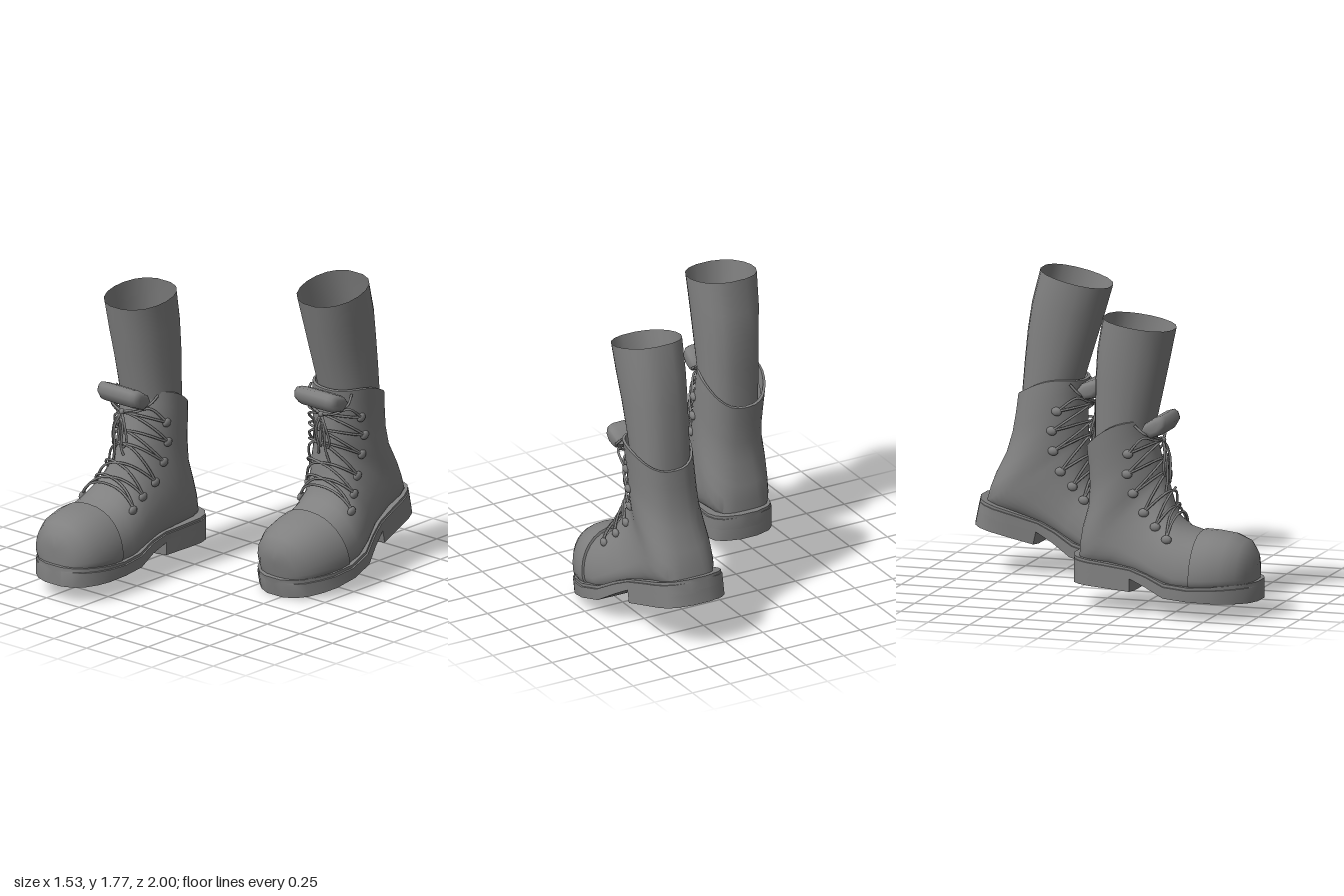
import * as THREE from 'three';
import { toCreasedNormals } from 'three/addons/utils/BufferGeometryUtils.js';

const material = new THREE.MeshStandardMaterial({ color: 0x808080, side: THREE.DoubleSide });
const V = (x, y, z) => new THREE.Vector3(x, y, z);
const { lerp } = THREE.MathUtils;

// Section rows: bottom/back z, y; top/front z, y; inner x; outer x; widest point (0..1)
const CAP = [
  [0.978, 0.15, 0.982, 0.3, 0.46, 0.46, 0.4],
  [0.972, 0.15, 0.978, 0.335, 0.385, 0.54, 0.4],
  [0.95, 0.15, 0.962, 0.385, 0.325, 0.605, 0.35],
  [0.9, 0.15, 0.92, 0.44, 0.268, 0.665, 0.3],
  [0.82, 0.15, 0.84, 0.472, 0.23, 0.712, 0.27],
  [0.72, 0.15, 0.74, 0.485, 0.217, 0.742, 0.25],
  [0.65, 0.15, 0.66, 0.488, 0.217, 0.748, 0.25],
  [0.648, 0.15, 0.656, 0.46, 0.25, 0.71, 0.25],
];
const UPPER = [
  [0.67, 0.15, 0.68, 0.468, 0.228, 0.735, 0.25],
  [0.55, 0.15, 0.56, 0.505, 0.226, 0.735, 0.25],
  [0.42, 0.19, 0.49, 0.56, 0.235, 0.708, 0.24],
  [0.28, 0.23, 0.46, 0.63, 0.24, 0.66, 0.24],
  [0.1, 0.25, 0.43, 0.72, 0.222, 0.628, 0.28],
  [-0.03, 0.25, 0.41, 0.775, 0.218, 0.622, 0.32],
  [-0.087, 0.27, 0.402, 0.805, 0.218, 0.62, 0.36],
  [-0.085, 0.36, 0.395, 0.83, 0.22, 0.62, 0.4],
  [-0.073, 0.45, 0.38, 0.88, 0.228, 0.62, 0.45],
  [-0.04, 0.58, 0.365, 0.94, 0.235, 0.615, 0.5],
  [-0.03, 0.7, 0.35, 1.0, 0.237, 0.618, 0.5],
  [-0.035, 0.82, 0.338, 1.06, 0.24, 0.628, 0.5],
  [-0.045, 0.93, 0.333, 1.115, 0.245, 0.636, 0.5],
  [-0.03, 0.935, 0.315, 1.115, 0.257, 0.622, 0.5],
  [-0.02, 0.85, 0.3, 1.05, 0.257, 0.61, 0.5],
];
const COLLAR = 12;
const LEG = [
  [0.0, 0.8, 0.31, 0.9, 0.265, 0.6, 0.5],
  [0.0, 1.15, 0.36, 1.13, 0.26, 0.61, 0.5],
  [0.003, 1.33, 0.4, 1.31, 0.253, 0.618, 0.5],
  [0.015, 1.5, 0.435, 1.47, 0.247, 0.63, 0.5],
  [0.05, 1.7, 0.47, 1.64, 0.24, 0.638, 0.5],
];
// Sole rows: z, bottom y, top y, inner x, outer x
const SOLE = [
  [1.0, 0.095, 0.21, 0.39, 0.51], [0.975, 0.096, 0.21, 0.325, 0.585],
  [0.93, 0.098, 0.208, 0.27, 0.645], [0.86, 0.102, 0.205, 0.23, 0.7],
  [0.78, 0.106, 0.2, 0.208, 0.74], [0.65, 0.113, 0.195, 0.2, 0.765],
  [0.5, 0.122, 0.205, 0.212, 0.745], [0.38, 0.17, 0.245, 0.23, 0.7],
  [0.27, 0.208, 0.27, 0.228, 0.665], [0.1, 0.215, 0.285, 0.207, 0.635],
  [0.0, 0.215, 0.292, 0.2, 0.617], [-0.06, 0.215, 0.298, 0.215, 0.592],
  [-0.1, 0.215, 0.3, 0.255, 0.553], [-0.13, 0.215, 0.302, 0.35, 0.46],
];
const HEEL = [[0.285, 0.2, 0, 0.285, 0.61], ...SOLE.slice(8)]
  .map(([z, yb, , xi, xo]) => [z, 0.142 - z * 0.04, yb + 0.015, xi, xo]);
const EYELETS = [[0.5, 0.45], [0.41, 0.51], [0.33, 0.58], [0.27, 0.69], [0.24, 0.81], [0.24, 0.92]];
// Tongue padding: side outline (z, y), and x positions with their scale
const TONGUE = [[0.472, 1.1], [0.458, 1.14], [0.435, 1.155], [0.39, 1.14], [0.33, 1.1],
  [0.305, 1.05], [0.37, 1.015], [0.44, 1.045]];
const TONGUE_X = [[0.293, 0.45], [0.298, 0.7], [0.312, 0.88], [0.34, 0.98], [0.45, 1],
  [0.56, 0.98], [0.588, 0.88], [0.602, 0.7], [0.607, 0.45]];

// Point on a rounded section at angle a (0 outer side, PI/2 top/front)
function sectionPoint([bz, by, tz, ty, xi, xo, m], a, grow = 0, arch = 0.25) {
  const c = Math.cos(a), s = Math.sin(a);
  const t = s < 0 ? m + m * s : m + (1 - m) * s;
  const power = s < 0 ? 1.6 * m - 0.02 : 0.85;
  const w = (xo - xi) / 2 + grow;
  const lift = grow * Math.max(0, s) / (Math.hypot(tz - bz, ty - by) || 1);
  const rise = Math.max(0, ty - 0.9) * arch * Math.sin(Math.PI * t);
  return V((xi + xo) / 2 + w * Math.sign(c) * Math.abs(c) ** power,
    lerp(by, ty, t + lift) + rise, lerp(bz, tz, t + lift));
}

const roundRings = (rows, sides, arch) => rows.map((row) =>
  Array.from({ length: sides }, (_, j) => sectionPoint(row, j / sides * Math.PI * 2, 0, arch)));

const boxRings = (rows, profile) => rows.map(([z, yb, yt, xi, xo]) =>
  profile.map(([u, s]) => V((xi + xo) / 2 + u * (xo - xi) / 2, lerp(yb, yt, s), z)));

// Skin a list of rings, optionally closing both ends
function loft(rings, capped = false) {
  const n = rings[0].length, pts = rings.flat(), index = [];
  for (let i = 0; i < rings.length - 1; i++) {
    for (let j = 0; j < n; j++) {
      const a = i * n + j, b = i * n + (j + 1) % n;
      index.push(a, a + n, b, b, a + n, b + n);
    }
  }
  if (capped) {
    [0, rings.length - 1].forEach((r, end) => {
      const centre = rings[r].reduce((sum, p) => sum.add(p), V(0, 0, 0)).divideScalar(n);
      const k = pts.push(centre) - 1;
      for (let j = 0; j < n; j++) {
        const a = r * n + j, b = r * n + (j + 1) % n;
        index.push(k, end ? b : a, end ? a : b);
      }
    });
  }
  const geo = new THREE.BufferGeometry().setFromPoints(pts);
  geo.setIndex(index);
  geo.computeVertexNormals();
  return geo;
}

// Mirror an indexed geometry across x = 0, keeping faces outward
function mirror(geo) {
  geo.scale(-1, 1, 1);
  const ix = geo.index.array;
  for (let i = 0; i < ix.length; i += 3) [ix[i], ix[i + 1]] = [ix[i + 1], ix[i]];
}

const tube = (points, r = 0.0075) =>
  new THREE.TubeGeometry(new THREE.CatmullRomCurve3(points), 28, r, 6);

// Point on the upper at fractional row v
function onUpper(v, a, grow) {
  const i = Math.min(Math.floor(v), UPPER.length - 2);
  return sectionPoint(UPPER[i].map((x, k) => lerp(x, UPPER[i + 1][k], v - i)), a, grow);
}

// Row and angle on the upper closest to a side-on position
function locate([z, y]) {
  let best = { d: Infinity };
  for (let v = 0; v <= COLLAR; v += 0.1) {
    for (let a = -0.8; a < 1.5; a += 0.04) {
      const p = onUpper(v, a, 0), d = Math.hypot(p.z - z, p.y - y);
      if (d < best.d) best = { d, v, a };
    }
  }
  return best;
}

function createBoot(name, mirrored, legLean) {
  const boot = new THREE.Group();
  boot.name = name;
  const add = (part, geo, crease) => {
    if (mirrored) mirror(geo);
    const mesh = new THREE.Mesh(crease ? toCreasedNormals(geo, crease) : geo, material);
    mesh.name = part;
    boot.add(mesh);
  };

  // Sole with a narrower welt, and the heel block
  const welt = [[1, 0], [1, 0.78], [0.965, 0.8], [0.965, 1], [-0.965, 1], [-0.965, 0.8], [-1, 0.78], [-1, 0]];
  add('sole', loft(boxRings(SOLE, welt), true), 0.7);
  add('heel', loft(boxRings(HEEL, [[1, 0], [1, 1], [-1, 1], [-1, 0]]), true), 0.7);

  // Leather upper and toe cap
  add('toeCap', loft(roundRings(CAP, 32)), 0.9);
  add('upper', loft(roundRings(UPPER, 32)), 0.9);

  // Padded tongue leaning out over the laces
  add('tongue', loft(TONGUE_X.map(([x, k]) =>
    TONGUE.map(([z, y]) => V(x, lerp(1.085, y, k), lerp(0.385, z, k)))), true), 1.1);

  // Open leg tube, tilted about the ankle
  const leg = loft(roundRings(LEG, 18, 0));
  leg.translate(0, -0.75, -0.1).rotateX(legLean).translate(0, 0.75, 0.1);
  add('leg', leg);

  // Eyelets on both sides
  const spots = EYELETS.map(locate);
  const sides = [(a) => a, (a) => Math.PI - a];
  for (const { v, a } of spots) {
    for (const side of sides) {
      const p = onUpper(v, side(a), 0.004);
      add('eyelet', new THREE.SphereGeometry(0.029, 10, 8).scale(0.6, 0.9, 1.1).translate(p.x, p.y, p.z));
    }
  }

  // Crossed laces lying over the front
  const lace = (from, to, side) => {
    const points = [];
    for (let k = 0; k <= 8; k++) {
      const t = k / 8, a = lerp(from.a, Math.PI - to.a, t);
      points.push(onUpper(lerp(from.v, to.v, t), side(a), 0.012 + 0.02 * Math.sin(Math.PI * t)));
    }
    add('lace', tube(points));
  };
  lace(spots[0], spots[0], sides[0]);
  for (let i = 0; i < spots.length - 1; i++) {
    for (const side of sides) lace(spots[i], spots[i + 1], side);
  }

  // Bow: knot, lead-in strands, hanging loops and loose ends
  const knot = V(0.45, 0.99, 0.405);
  add('knot', new THREE.SphereGeometry(0.018, 10, 8).translate(knot.x, knot.y, knot.z));
  const top = spots[spots.length - 1];
  [1, -1].forEach((s, i) => {
    const at = (x, y, z) => V(knot.x + s * x, y, z);
    const eye = onUpper(top.v, sides[i](top.a), 0.012);
    add('lace', tube([eye, at(0.15, 1.02, 0.33), at(0.08, 1.0, 0.385), knot]));
    add('lace', tube([onUpper(COLLAR - 0.3, sides[i](0.75), 0.008), at(0.155, 1.05, 0.34),
      at(0.08, 1.015, 0.39), knot]));
    add('bowLoop', tube([knot, at(0.035, 0.93, 0.425), at(0.05, 0.82, 0.425),
      at(0.025, 0.78, 0.43), at(0.01, 0.86, 0.425), knot]));
    add('laceEnd', tube([knot, at(0.03, 0.9, 0.435), at(0.025, 0.78, 0.44),
      at(0.04, i ? 0.74 : 0.68, 0.435)]));
  });
  return boot;
}

export function createModel() {
  const model = new THREE.Group();
  model.name = 'pairOfBoots';

  // Right boot forward and nearly flat
  model.add(createBoot('rightBoot', true, 0));

  // Left boot behind, pitched onto its toe
  const left = createBoot('leftBoot', false, -0.122);
  const pitch = 0.205, c = Math.cos(pitch), s = Math.sin(pitch);
  left.rotation.x = pitch;
  left.position.set(0, s - 0.095 * c, 0.095 - c - 0.095 * s);
  model.add(left);
  return model;
}
